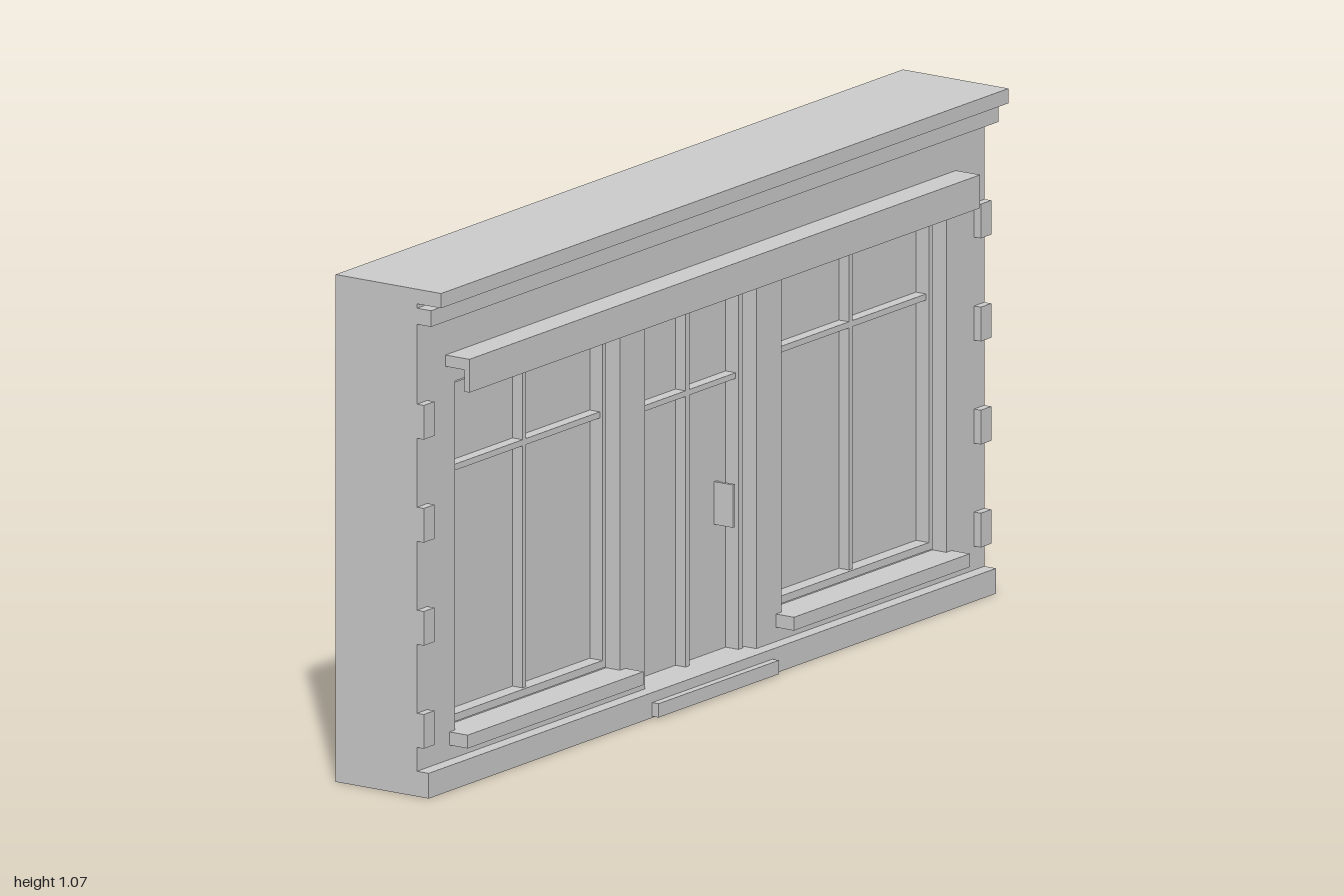
import * as THREE from 'three';

const material = new THREE.MeshStandardMaterial({ color: 0xcccccc, flatShading: true });
const WALL = 0.073, BACK = -0.13, PANE = 0.015, HEIGHT = 1.067, HEAD = 0.845;

// Box given by its lower and upper limits on each axis
function block(parent, name, x0, x1, y0, y1, z0, z1) {
  const mesh = new THREE.Mesh(new THREE.BoxGeometry(x1 - x0, y1 - y0, z1 - z0), material);
  mesh.position.set((x0 + x1) / 2, (y0 + y1) / 2, (z0 + z1) / 2);
  mesh.name = name;
  parent.add(mesh);
  return mesh;
}

function rectangle(Type, x0, x1, y0, y1) {
  return new Type([[x0, y0], [x1, y0], [x1, y1], [x0, y1]].map(([x, y]) => new THREE.Vector2(x, y)));
}

function panel(parent, name, shape, z0, z1) {
  const geometry = new THREE.ExtrudeGeometry(shape, { depth: z1 - z0, bevelEnabled: false });
  const mesh = new THREE.Mesh(geometry, material);
  mesh.position.z = z0;
  mesh.name = name;
  parent.add(mesh);
}

// Rectangular ring: outer half width / bottom / top, inner half width / bottom / top
function ring(parent, name, outer, inner, z1) {
  const shape = rectangle(THREE.Shape, -outer[0], outer[0], outer[1], outer[2]);
  shape.holes.push(rectangle(THREE.Path, -inner[0], inner[0], inner[1], inner[2]));
  panel(parent, name, shape, PANE, z1);
}

function buildWindow(x) {
  const group = new THREE.Group();
  group.name = 'window';
  group.position.x = x;
  ring(group, 'windowSurround', [0.291, 0.1, HEAD], [0.277, 0.117, 0.842], 0.038);
  ring(group, 'windowFrame', [0.278, 0.117, 0.842], [0.266, 0.133, 0.83], 0.047);
  block(group, 'mullion', -0.006, 0.006, 0.133, 0.83, PANE, 0.04);
  block(group, 'transom', -0.266, 0.266, 0.642, 0.655, PANE, 0.04);
  block(group, 'windowSill', -0.31, 0.31, 0.083, 0.111, 0.03, 0.118);
  return group;
}

function buildDoor() {
  const group = new THREE.Group();
  group.name = 'door';
  for (const side of [-1, 1]) {
    const strip = (name, a, b, z) =>
      block(group, name, Math.min(a * side, b * side), Math.max(a * side, b * side), 0.053, HEAD, PANE, z);
    strip('doorSurround', 0.184, 0.196, 0.038);
    strip('doorFrame', 0.17, 0.185, 0.047);
  }
  block(group, 'doorHead', -0.17, 0.17, 0.83, HEAD, PANE, 0.047);
  block(group, 'doorMullion', -0.007, 0.007, 0.053, 0.83, PANE, 0.04);
  block(group, 'doorTransom', -0.17, 0.17, 0.622, 0.634, PANE, 0.04);
  block(group, 'doorHandle', 0.129, 0.137, 0.32, 0.41, PANE, 0.062);
  return group;
}

export function createModel() {
  const model = new THREE.Group();
  model.name = 'shopFront';

  // Solid body whose front face forms the panes, then the pierced front wall
  block(model, 'wallBody', -1, 1, 0, HEIGHT, BACK, PANE);
  const wall = rectangle(THREE.Shape, -1, 1, 0, HEIGHT);
  for (const x of [-0.575, 0.575]) {
    wall.holes.push(rectangle(THREE.Path, x - 0.291, x + 0.291, 0.1, HEAD));
    model.add(buildWindow(x));
  }
  wall.holes.push(rectangle(THREE.Path, -0.196, 0.196, 0.053, HEAD));
  panel(model, 'frontWall', wall, PANE, WALL);
  model.add(buildDoor());

  // Base and doorstep
  block(model, 'plinth', -1, 1, 0, 0.053, WALL, 0.102);
  block(model, 'doorstep', -0.212, 0.212, 0.003, 0.032, WALL, 0.118);

  // Two-tier cornice
  block(model, 'cornice', -1, 1, 1.036, HEIGHT, WALL, 0.133);
  block(model, 'lowerCornice', -1, 1, 0.993, 1.027, WALL, 0.108);

  // Canopy with a hanging fascia
  block(model, 'canopyTop', -0.9, 0.9, 0.883, 0.907, WALL, 0.133);
  block(model, 'canopyFascia', -0.9, 0.9, 0.837, 0.883, 0.121, 0.133);

  // Corner stones
  for (let i = 0; i < 4; i++) {
    const y = 0.103 + i * 0.2167;
    block(model, 'cornerStone', -1, -0.963, y, y + 0.072, WALL, 0.09);
    block(model, 'cornerStone', 0.963, 1, y, y + 0.072, WALL, 0.09);
  }
  return model;
}
